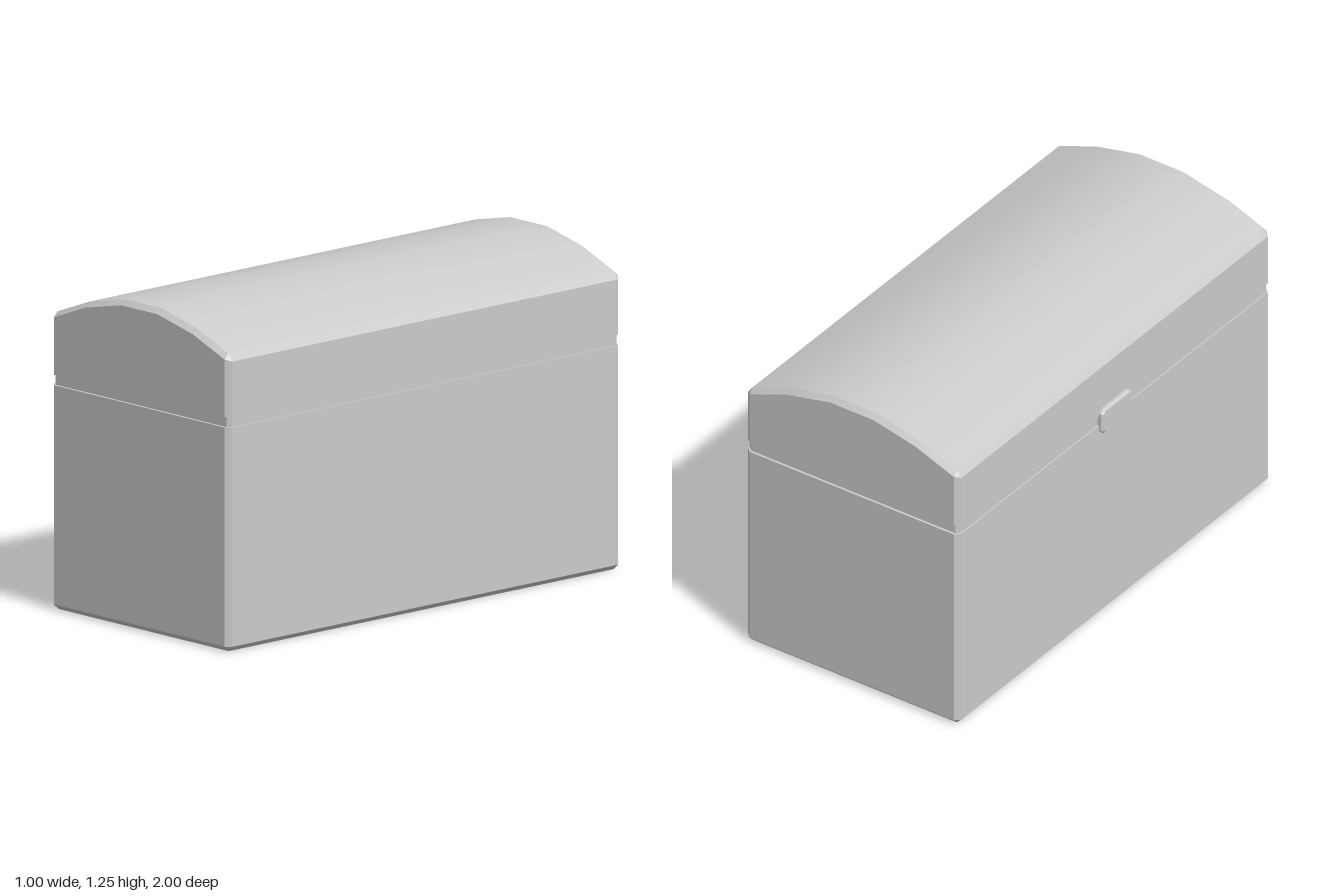
import * as THREE from 'three';
import { toCreasedNormals } from 'three/addons/utils/BufferGeometryUtils.js';

const CX = 0.009; // middle of the chest in x; the latch balances it
const HX = 0.489; // half width
const BEVEL = 0.02;

// Joins convex cross-sections (counter-clockwise [u, v] loops at rising w) and caps both ends.
function loft(sections, toXYZ) {
  const n = sections[0].loop.length;
  const pos = [], idx = [];
  for (const { w, loop } of sections) for (const [u, v] of loop) pos.push(...toXYZ(u, v, w));
  for (let s = 0; s < sections.length - 1; s++) {
    for (let i = 0; i < n; i++) {
      const a = s * n + i, b = s * n + (i + 1) % n;
      idx.push(a, b, b + n, a, b + n, a + n);
    }
  }
  const top = (sections.length - 1) * n;
  for (let i = 1; i < n - 1; i++) {
    idx.push(0, i + 1, i);
    idx.push(top, top + i, top + i + 1);
  }
  const geo = new THREE.BufferGeometry();
  geo.setAttribute('position', new THREE.Float32BufferAttribute(pos, 3));
  geo.setIndex(idx);
  return toCreasedNormals(geo, 0.45);
}

// Rectangle with cut corners
function octagon(hu, hv, c) {
  return [
    [hu, -hv + c], [hu, hv - c], [hu - c, hv], [-hu + c, hv],
    [-hu, hv - c], [-hu, -hv + c], [-hu + c, -hv], [hu - c, -hv],
  ];
}

// Arched lid outline; the inset version forms the bevelled end face
function lidOutline(inset) {
  const half = inset
    ? [[HX - BEVEL, 0.9], [HX - BEVEL, 1.12], [HX - BEVEL, 1.12], [0.295, 1.187], [0.1, 1.23]]
    : [[HX, 0.9], [HX, 1.113], [HX - BEVEL, 1.14], [0.295, 1.207], [0.1, 1.25]];
  return [...half, ...half.map(([x, y]) => [-x, y]).reverse()];
}

export function createModel() {
  const chest = new THREE.Group();
  chest.name = 'chest';
  const material = new THREE.MeshStandardMaterial({ color: 0xcccccc });
  const add = (name, geometry) => {
    const mesh = new THREE.Mesh(geometry, material);
    mesh.name = name;
    chest.add(mesh);
  };
  const alongY = (u, v, w) => [CX + v, w, u];
  const alongZ = (u, v, w) => [CX + u, v, w];
  const alongX = (u, v, w) => [w, 0.875 + u, v - 0.004];

  // Box with bevelled bottom and corners
  add('body', loft([
    { w: 0, loop: octagon(1 - BEVEL, HX - BEVEL, 0.004) },
    { w: BEVEL, loop: octagon(1, HX, BEVEL) },
    { w: 0.86, loop: octagon(1, HX, BEVEL) },
  ], alongY));

  // Recessed strip between body and lid
  const seam = octagon(0.99, HX - 0.006, 0.014);
  add('seam', loft([{ w: 0.86, loop: seam }, { w: 0.9, loop: seam }], alongY));

  // Arched lid with bevelled ends
  add('lid', loft([
    { w: -1, loop: lidOutline(true) },
    { w: -1 + BEVEL, loop: lidOutline(false) },
    { w: 1 - BEVEL, loop: lidOutline(false) },
    { w: 1, loop: lidOutline(true) },
  ], alongZ));

  // Small bevelled latch over the seam
  add('latch', loft([
    { w: -0.498, loop: octagon(0.047, 0.089, 0.012) },
    { w: -0.49, loop: octagon(0.055, 0.097, 0.016) },
    { w: -0.465, loop: octagon(0.055, 0.097, 0.016) },
  ], alongX));

  return chest;
}
